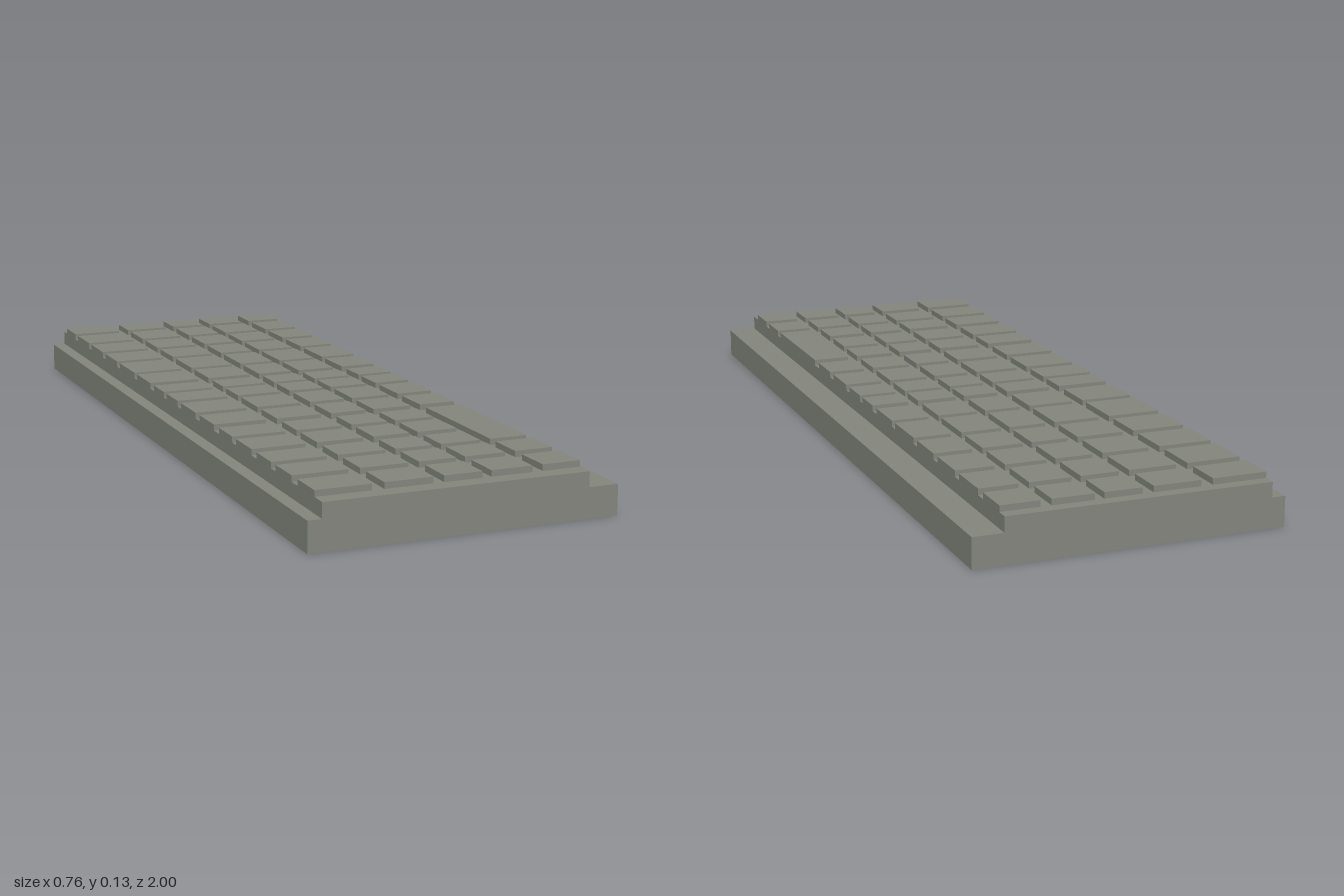
import * as THREE from 'three';

export function createModel() {
  const model = new THREE.Group();
  model.name = 'keyboard';
  const greyGreen = new THREE.MeshStandardMaterial({ color: 0x84877e });
  greyGreen.name = 'greyGreen';

  // Stepped case: low ledges either side of a raised key deck
  const profile = new THREE.Shape([
    [-0.379, 0], [0.379, 0], [0.379, 0.074], [0.304, 0.074],
    [0.304, 0.111], [-0.345, 0.111], [-0.345, 0.074], [-0.379, 0.074],
  ].map(([x, y]) => new THREE.Vector2(x, y)));
  const caseGeometry = new THREE.ExtrudeGeometry(profile, { depth: 2, bevelEnabled: false });
  caseGeometry.translate(0, 0, -1);
  const body = new THREE.Mesh(caseGeometry, greyGreen);
  body.name = 'case';
  model.add(body);

  // Key columns (x ranges) and rows (z ranges)
  const columns = [[-0.345, -0.21], [-0.181, -0.063], [-0.037, 0.057], [0.079, 0.182], [0.208, 0.304]];
  const rows = [
    [-0.97, -0.876], [-0.847, -0.733], [-0.707, -0.595], [-0.568, -0.457], [-0.432, -0.298],
    [-0.275, -0.16], [-0.128, -0.048], [-0.027, 0.062], [0.088, 0.2], [0.228, 0.332],
    [0.367, 0.459], [0.485, 0.585], [0.617, 0.708], [0.735, 0.83], [0.862, 0.957],
  ];
  const keys = new THREE.Group();
  keys.name = 'keys';
  model.add(keys);

  const deckY = 0.111, keyTopY = 0.126;
  function addKey(name, [x0, x1], [z0, z1]) {
    // Keys have no underside face, as they sit flush on the deck
    const key = new THREE.Mesh(new THREE.BoxGeometry(x1 - x0, keyTopY - deckY, z1 - z0), greyGreen);
    key.position.set((x0 + x1) / 2, (deckY + keyTopY) / 2, (z0 + z1) / 2);
    key.name = name;
    keys.add(key);
  }

  // One long bar takes the place of three keys in the last column
  const barColumn = 4, barFirst = 10, barLast = 12;
  columns.forEach((column, c) => rows.forEach((row, r) => {
    if (c === barColumn && r >= barFirst && r <= barLast) return;
    addKey(`key_${c + 1}_${r + 1}`, column, row);
  }));
  addKey('longBarKey', columns[barColumn], [rows[barFirst][0], rows[barLast][1]]);

  return model;
}
